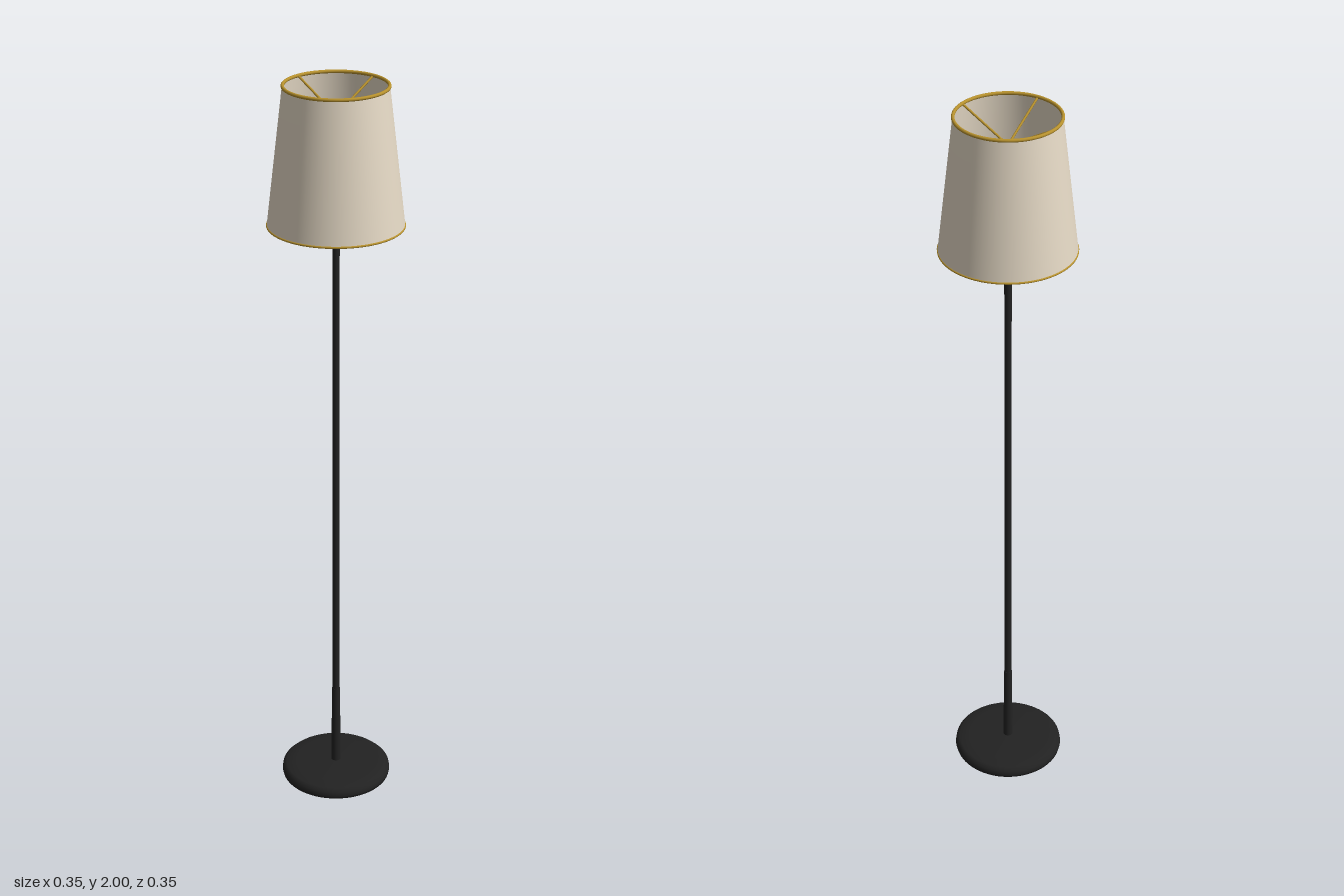
import * as THREE from 'three';

export function createModel() {
  const lamp = new THREE.Group();
  lamp.name = 'floorLamp';

  const material = (name, color) => {
    const m = new THREE.MeshStandardMaterial({ color });
    m.name = name;
    return m;
  };
  const black = material('blackMetal', 0x222222);
  const cream = material('creamFabric', 0xe6dac6);
  const brass = material('brass', 0xb8922e);

  const add = (name, geometry, mat, y = 0) => {
    const mesh = new THREE.Mesh(geometry, mat);
    mesh.name = name;
    mesh.position.y = y;
    lamp.add(mesh);
    return mesh;
  };
  const lathe = (points, segments = 64) =>
    new THREE.LatheGeometry(points.map(([r, y]) => new THREE.Vector2(r, y)), segments);
  const rod = (rTop, rBottom, y0, y1, name) =>
    add(name, new THREE.CylinderGeometry(rTop, rBottom, y1 - y0, 24), black, (y0 + y1) / 2);

  // Weighted foot with a softened upper edge
  add('base', lathe([[0, 0], [0.15, 0], [0.152, 0.008], [0.15, 0.02], [0.14, 0.029],
    [0.11, 0.033], [0, 0.036]]), black);

  // Upright, lower sleeve and bulb holder
  rod(0.0095, 0.0095, 0.03, 1.7, 'pole');
  rod(0.011, 0.0135, 0.03, 0.27, 'sleeve');
  rod(0.016, 0.016, 1.68, 1.765, 'socket');

  // Round bulb
  add('bulb', new THREE.SphereGeometry(0.04, 32, 20), cream, 1.795);

  // Thin tapered shell, softly shaded across its edges
  add('shade', lathe([[0.172, 1.637], [0.175, 1.637], [0.133, 1.996], [0.13, 1.996],
    [0.172, 1.637]]), cream);

  // Brass rims
  const rim = (name, radius, tube, y) => {
    add(name, new THREE.TorusGeometry(radius, tube, 10, 64), brass, y).rotation.x = Math.PI / 2;
  };
  rim('topRim', 0.132, 0.0045, 1.9955);
  rim('bottomRim', 0.174, 0.003, 1.637);

  // Four spokes dipping from the top rim to the centre
  for (let i = 0; i < 4; i++) {
    const a = (i * Math.PI) / 2;
    const path = new THREE.LineCurve3(
      new THREE.Vector3(0, 1.92, 0),
      new THREE.Vector3(0.131 * Math.cos(a), 1.994, 0.131 * Math.sin(a)));
    add('spoke' + (i + 1), new THREE.TubeGeometry(path, 1, 0.003, 8), brass);
  }

  return lamp;
}
